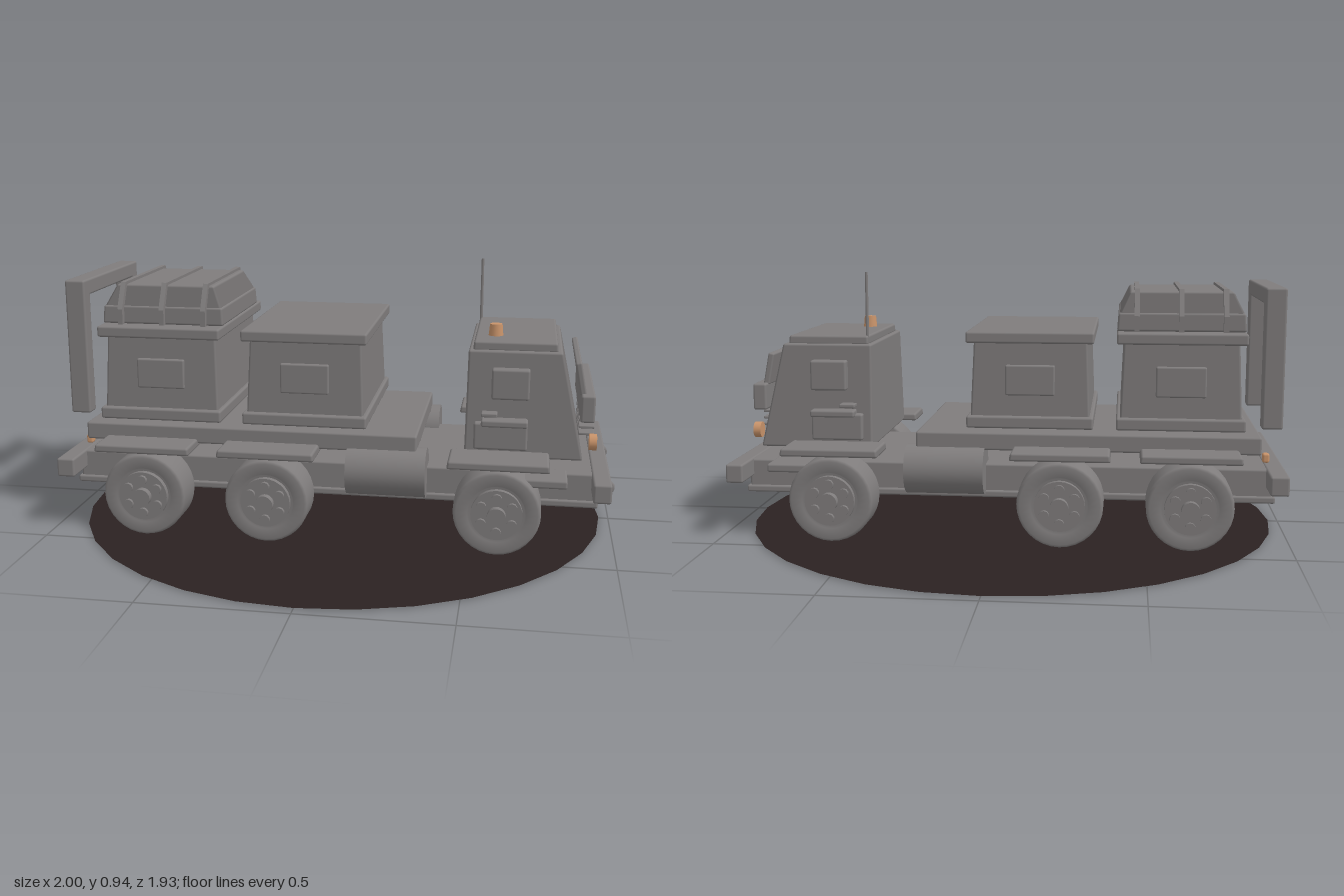
import * as THREE from 'three';
import { RoundedBoxGeometry } from 'three/addons/geometries/RoundedBoxGeometry.js';

export function createModel() {
  const root = new THREE.Group();
  const mat = (name, color, side = THREE.FrontSide) => {
    const m = new THREE.MeshStandardMaterial({ color, side });
    m.name = name;
    return m;
  };
  const grey = mat('bodyGrey', 0x7f7c7c);
  const amber = mat('lampAmber', 0xc8936a);
  const dark = mat('baseDark', 0x2b2222, THREE.DoubleSide);

  const add = (name, geo, x, y, z, m = grey, parent = root) => {
    const mesh = new THREE.Mesh(geo, m);
    mesh.name = name;
    mesh.position.set(x, y, z);
    parent.add(mesh);
    return mesh;
  };
  // Soft-edged box given by its limits; rule(v, t) may reshape it, t = 0 bottom .. 1 top
  const box = (name, [x0, x1], [y0, y1], [z0, z1], rule, m = grey) => {
    const w = x1 - x0, h = y1 - y0, d = z1 - z0;
    const geo = new RoundedBoxGeometry(w, h, d, 2, Math.min(0.008, Math.min(w, h, d) * 0.3));
    if (rule) {
      const p = geo.attributes.position, v = new THREE.Vector3();
      for (let i = 0; i < p.count; i++) {
        v.fromBufferAttribute(p, i);
        rule(v, v.y / h + 0.5);
        p.setXYZ(i, v.x, v.y, v.z);
      }
    }
    return add(name, geo, (x0 + x1) / 2, (y0 + y1) / 2, (z0 + z1) / 2, m);
  };
  const taper = (sx, sz) => (v, t) => {
    v.x *= 1 + (sx - 1) * t;
    v.z *= 1 + (sz - 1) * t;
  };
  const sides = [1, -1];
  const span = (s, a, b) => (s > 0 ? [a, b] : [-b, -a]);

  // Ground disc
  const disc = add('groundDisc', new THREE.CircleGeometry(0.965, 32), 0, 0.003, 0, dark);
  disc.rotation.x = -Math.PI / 2;

  // Chassis, bumpers and bed
  box('chassis', [-0.94, 0.93], [0.155, 0.26], [-0.29, 0.29]);
  box('chassisLowerRail', [-0.95, 0.94], [0.14, 0.165], [-0.3, 0.3]);
  box('frontBumper', [0.915, 0.977], [0.198, 0.265], [-0.417, 0.417]);
  box('rearBumper', [-0.982, -0.917], [0.195, 0.263], [-0.417, 0.417]);
  box('bed', [-0.895, 0.31], [0.317, 0.38], [-0.33, 0.33]);
  for (const s of sides) for (const e of sides)
    add('towHook', new THREE.TorusGeometry(0.018, 0.009, 8, 16), e * 0.973, 0.195, s * 0.22);

  // Wheels: rounded tyre, hub disc, bolts and cap, pointing outwards along z
  const tyreGeo = new THREE.LatheGeometry(
    [[0, -0.07], [0.138, -0.07], [0.147, -0.064], [0.15, -0.052], [0.15, 0.052],
      [0.147, 0.064], [0.138, 0.07], [0.1, 0.07], [0.095, 0.06], [0, 0.06]]
      .map(([r, y]) => new THREE.Vector2(r, y)), 32);
  tyreGeo.rotateX(Math.PI / 2);
  const drum = (r, h, n = 20) => new THREE.CylinderGeometry(r, r, h, n).rotateX(Math.PI / 2);
  for (const x of [-0.65, -0.206, 0.596]) for (const s of sides) {
    const wheel = new THREE.Group();
    wheel.name = 'wheel';
    wheel.position.set(x, 0.15, s * 0.37);
    if (s < 0) wheel.rotation.y = Math.PI;
    root.add(wheel);
    add('tyre', tyreGeo, 0, 0, 0, grey, wheel);
    add('hub', drum(0.088, 0.03, 28), 0, 0, 0.065, grey, wheel);
    add('hubCap', drum(0.032, 0.05), 0, 0, 0.08, grey, wheel);
    for (let i = 0; i < 6; i++) {
      const a = (i + 0.5) * Math.PI / 3;
      add('hubLug', drum(0.018, 0.02, 10), Math.cos(a) * 0.06, Math.sin(a) * 0.06, 0.083, grey, wheel);
    }
    box('fender', [x - 0.174, x + 0.174], [0.306, 0.334], span(s, 0.29, 0.456), taper(0.97, 0.98));
  }

  // Side tanks and cab steps
  for (const s of sides) {
    const tank = add('fuelTank', new THREE.CylinderGeometry(0.088, 0.088, 0.28, 28), 0.205, 0.243, s * 0.303);
    tank.rotation.z = Math.PI / 2;
    box('cabStep', [0.64, 0.83], [0.238, 0.268], span(s, 0.27, 0.405));
  }

  // Two cargo boxes with plinth, tapered body, lid and side panels
  for (const x of [-0.617, -0.092]) {
    box('cargoPlinth', [x - 0.223, x + 0.223], [0.395, 0.438], [-0.325, 0.325]);
    box('cargoBody', [x - 0.21, x + 0.21], [0.43, 0.7], [-0.305, 0.305], taper(0.95, 0.93));
    box('cargoLid', [x - 0.224, x + 0.224], [0.695, 0.735], [-0.325, 0.325]);
    for (const s of sides)
      box('cargoPanel', [x - 0.087, x + 0.087], [0.51, 0.617], span(s, 0.285, 0.306));
  }

  // Covered load with straps
  box('loadBase', [-0.84, -0.393], [0.735, 0.8], [-0.262, 0.262], taper(0.98, 0.98));
  box('loadTop', [-0.835, -0.398], [0.79, 0.872], [-0.257, 0.257], taper(0.82, 0.84));
  for (const x of [-0.768, -0.615, -0.462]) {
    const outline = (a, b, h) => [[-a, 0.735], [a, 0.735], [a, 0.79], [b, h], [-b, h], [-a, 0.79]]
      .map(([u, v]) => new THREE.Vector2(u, v));
    const geo = new THREE.ExtrudeGeometry(new THREE.Shape(outline(0.28, 0.23, 0.882)),
      { depth: 0.018, bevelEnabled: false });
    geo.rotateY(Math.PI / 2);
    add('loadStrap', geo, x - 0.009, 0, 0);
  }

  // Rear rack frame
  for (const s of sides) box('rackPost', [-0.97, -0.897], [0.4, 0.89], span(s, 0.225, 0.283));
  box('rackBar', [-0.97, -0.897], [0.832, 0.89], [-0.283, 0.283]);

  // Cab with sloping front and tapered sides
  box('cab', [0.473, 0.88], [0.31, 0.68], [-0.3, 0.3], (v, t) => {
    if (v.x > 0) v.x -= 0.08 * t;
    else v.x += 0.006 * t;
    v.z *= 1 - 0.11 * t;
  });
  box('cabRoof', [0.493, 0.785], [0.675, 0.708], [-0.25, 0.25], taper(0.98, 0.98));
  for (const s of sides) {
    box('sideWindow', [0.562, 0.692], [0.518, 0.625], span(s, 0.27, 0.312));
    box('doorPanel', [0.505, 0.69], [0.34, 0.435], span(s, 0.28, 0.315));
    box('doorRail', [0.53, 0.69], [0.425, 0.45], span(s, 0.28, 0.335));
    box('doorHandle', [0.53, 0.585], [0.458, 0.472], span(s, 0.27, 0.325));
    const pane = box('windshield', [0.855, 0.877], [0.525, 0.642], span(s, 0.004, 0.235));
    pane.rotation.z = 0.19;
  }
  box('frontSlab', [0.868, 0.917], [0.437, 0.533], [-0.268, 0.268]);
  for (const y of [0.43, 0.41, 0.385, 0.36]) box('grilleBar', [0.87, 0.925], [y - 0.005, y + 0.005], [-0.13, 0.13]);

  // Lamps, beacon and aerial
  for (const s of sides) {
    add('headlamp', new THREE.CylinderGeometry(0.029, 0.029, 0.026, 20), 0.917, 0.355, s * 0.21, amber)
      .rotation.z = Math.PI / 2;
    box('tailLamp', [-0.932, -0.908], [0.275, 0.308], span(s, 0.22, 0.25), null, amber);
  }
  add('beacon', new THREE.CylinderGeometry(0.022, 0.026, 0.042, 16), 0.567, 0.728, 0.122, amber);
  add('aerial', new THREE.CylinderGeometry(0.005, 0.006, 0.25, 8), 0.5, 0.81, -0.225);

  return root;
}
